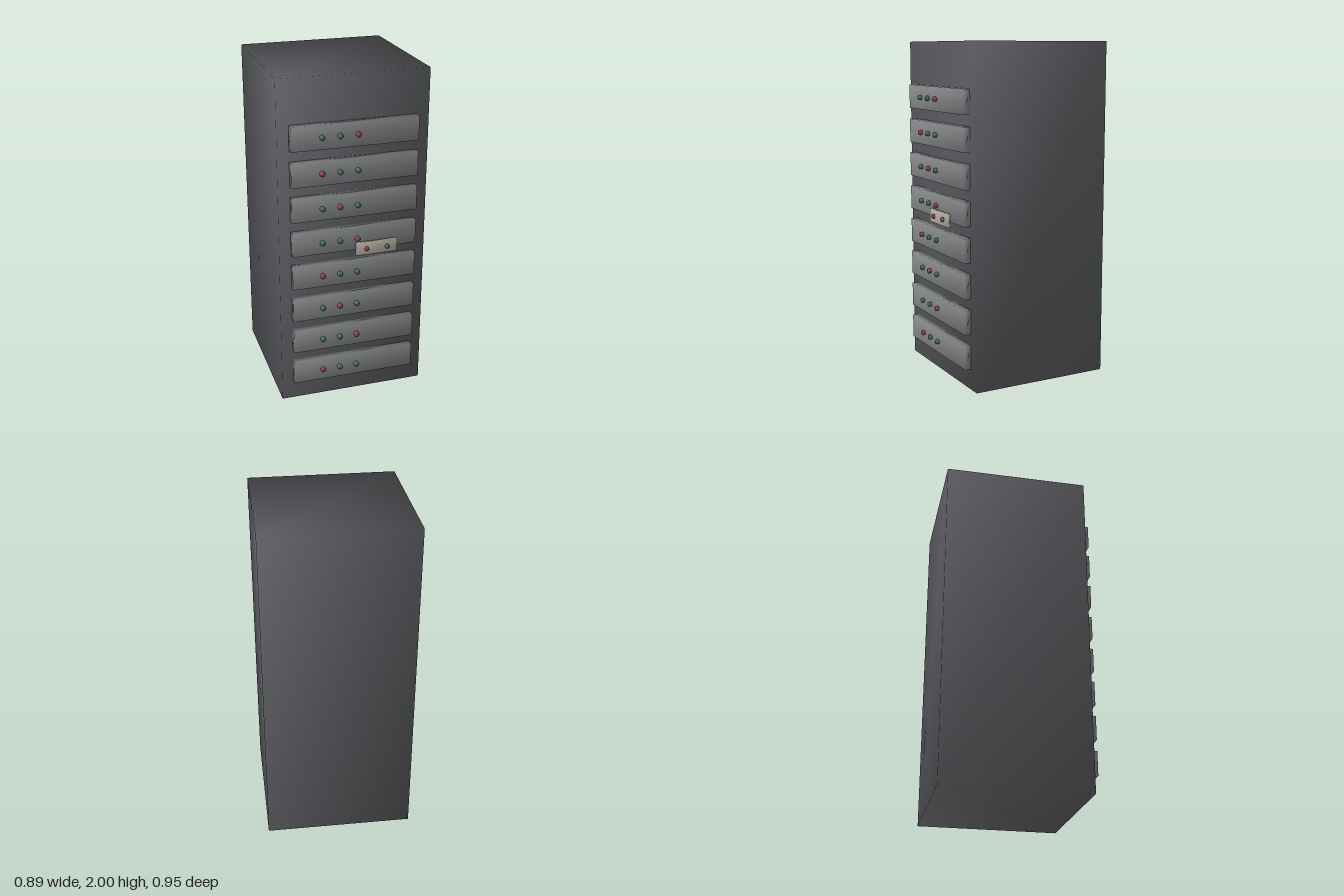
import * as THREE from 'three';
import { mergeVertices } from 'three/addons/utils/BufferGeometryUtils.js';

// Weld the corners so shading flows across the edges
function softened(geometry) {
  geometry.deleteAttribute('normal');
  geometry.deleteAttribute('uv');
  const welded = mergeVertices(geometry, 1e-4);
  welded.computeVertexNormals();
  return welded;
}

const paint = (color) => new THREE.MeshStandardMaterial({ color });

export function createModel() {
  const model = new THREE.Group();
  model.name = 'equipmentCabinet';

  const cabinetPaint = paint(0x5c5d61);
  const panelPaint = paint(0x838587);
  const platePaint = paint(0xb5aea0);
  const redPaint = paint(0xa04a4a);
  const greenPaint = paint(0x4a7a60);

  const addPart = (parent, name, geometry, material, x, y, z) => {
    const mesh = new THREE.Mesh(geometry, material);
    mesh.name = name;
    mesh.position.set(x, y, z);
    parent.add(mesh);
  };

  // Short round lamp facing forward
  const lampGeometry = (radius, depth) =>
    softened(new THREE.CylinderGeometry(radius, radius, depth, 12).rotateX(Math.PI / 2));

  // Cabinet body
  addPart(model, 'cabinet', softened(new THREE.BoxGeometry(0.886, 2, 0.861)),
    cabinetPaint, 0, 1, -0.045);

  // Eight front panels, each with one red and two green lamps
  const panelGeometry = softened(new THREE.BoxGeometry(0.746, 0.144, 0.039));
  const panelLamp = lampGeometry(0.015, 0.018);
  const redPositions = [0, 2, 1];
  for (let row = 0; row < 8; row++) {
    const unit = new THREE.Group();
    unit.name = `panelUnit${row + 1}`;
    unit.position.set(0, 0.195 + row * 0.2103, 0.405);
    addPart(unit, 'panel', panelGeometry, panelPaint, 0, 0, 0);
    for (let i = 0; i < 3; i++) {
      const isRed = i === redPositions[row % 3];
      addPart(unit, 'panelLamp', panelLamp, isRed ? redPaint : greenPaint,
        -0.197 + i * 0.1045, 0, 0.028);
    }
    model.add(unit);
  }

  // Small pale plate held in front, with its own two lamps
  const plate = new THREE.Group();
  plate.name = 'statusPlate';
  plate.position.set(0.119, 0.983, 0.455);
  addPart(plate, 'plate', softened(new THREE.BoxGeometry(0.248, 0.08, 0.018)),
    platePaint, 0, 0, 0);
  const plateLamp = lampGeometry(0.0135, 0.012);
  addPart(plate, 'redPlateLamp', plateLamp, redPaint, -0.062, 0, 0.014);
  addPart(plate, 'greenPlateLamp', plateLamp, greenPaint, 0.062, 0, 0.014);
  model.add(plate);

  return model;
}
